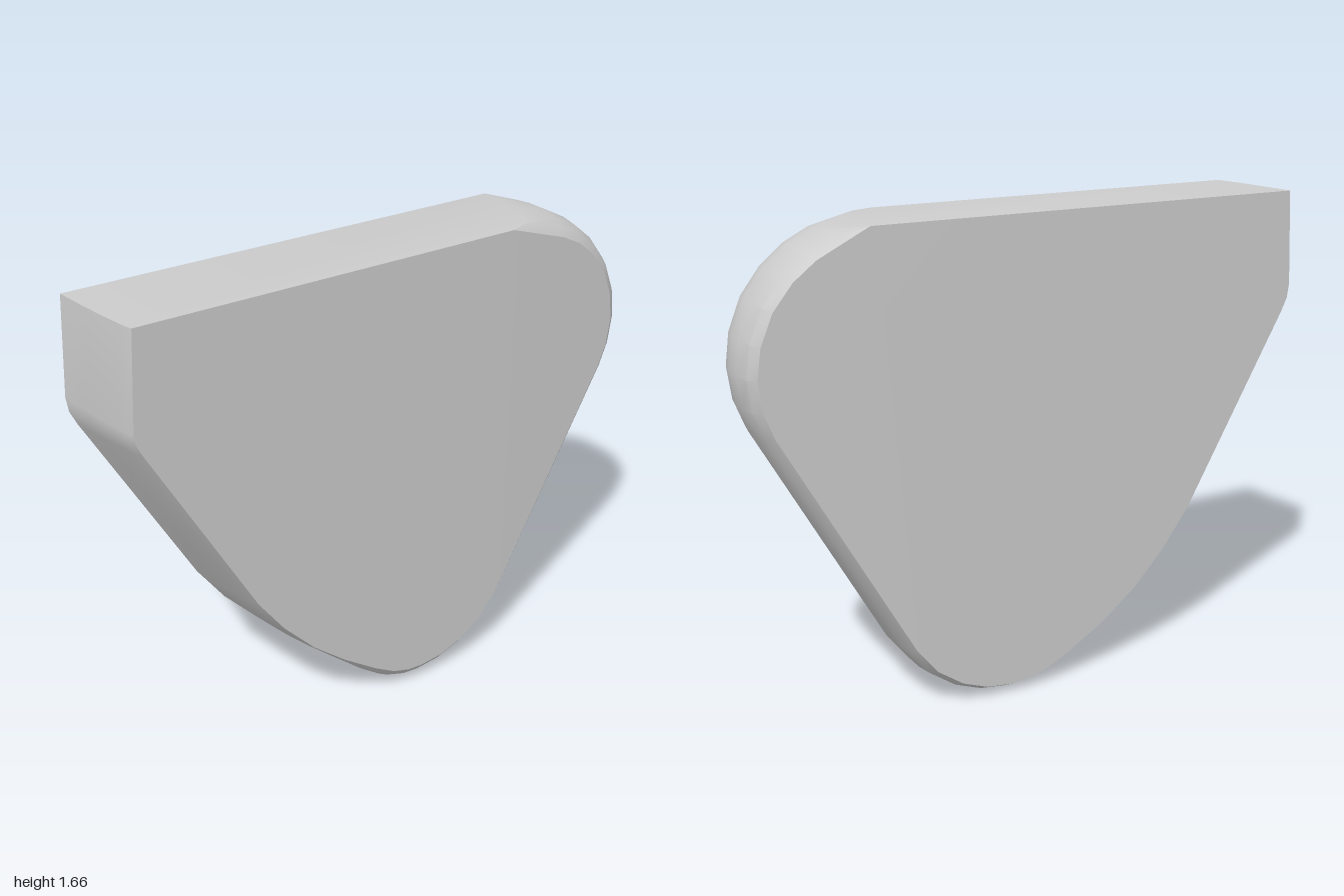
import * as THREE from 'three';
import { ConvexGeometry } from 'three/addons/geometries/ConvexGeometry.js';
import { toCreasedNormals } from 'three/addons/utils/BufferGeometryUtils.js';

const TOP = 1.66;

// Widest outline, from the top left corner down, around the tip and up the right side
const OUTLINE = [
  [-0.98, TOP], [-1, 1.33], [-0.993, 1.28], [-0.97, 1.23], [-0.6, 0.56], [-0.5, 0.42],
  [-0.38, 0.29], [-0.25, 0.18], [-0.12, 0.085], [-0.03, 0.03], [0.05, 0.005], [0.12, 0],
  [0.22, 0.012], [0.32, 0.05], [0.42, 0.12], [0.5, 0.22], [0.95, 1.02], [0.985, 1.11],
  [1, 1.22], [0.985, 1.33], [0.94, 1.44], [0.87, 1.53], [0.79, 1.595], [0.7, 1.64], [0.6, TOP],
];

// Layers from back to front: depth fraction, inset on the left edge, inset on the rounded edge
const LAYERS = [
  [-1, 0, 0.03], [-0.75, 0.006, 0.008], [-0.3, 0.015, 0], [0.2, 0.027, 0],
  [0.6, 0.039, 0.01], [0.85, 0.047, 0.03], [1, 0.055, 0.06],
];

// Half thickness: slimmer towards the tip and the right corner
const halfDepth = (x, y) =>
  0.173 - 0.013 * (1 - y / TOP) - 0.045 * Math.max(0, x - 0.45);

export function createModel() {
  const points = [];
  const last = OUTLINE.length - 1;
  for (const [t, leftInset, roundInset] of LAYERS) {
    OUTLINE.forEach(([x, y], i) => {
      const rounded = THREE.MathUtils.smoothstep(x, -0.35, 0.05);
      const inset = THREE.MathUtils.lerp(leftInset, roundInset, rounded);
      let px, py;
      if (i === 0 || i === last) {
        // Ends slide along the flat top
        px = x + (i === 0 ? inset : t > 0 ? -inset * 2.5 : 0);
        py = y;
      } else {
        const a = OUTLINE[i - 1], b = OUTLINE[i + 1];
        const n = new THREE.Vector2(a[1] - b[1], b[0] - a[0]).normalize();
        px = x + n.x * inset;
        py = y + n.y * inset;
      }
      points.push(new THREE.Vector3(px, py, t * halfDepth(px, py)));
    });
  }

  // Solid skin over the layers, smooth on the rounded rim and sharp at the flat edges
  const geometry = toCreasedNormals(new ConvexGeometry(points), 0.45);
  const body = new THREE.Mesh(geometry, new THREE.MeshStandardMaterial({ color: 0xcccccc }));
  body.name = 'roundedTriangularPlate';

  const group = new THREE.Group();
  group.name = 'plate';
  group.add(body);
  return group;
}
